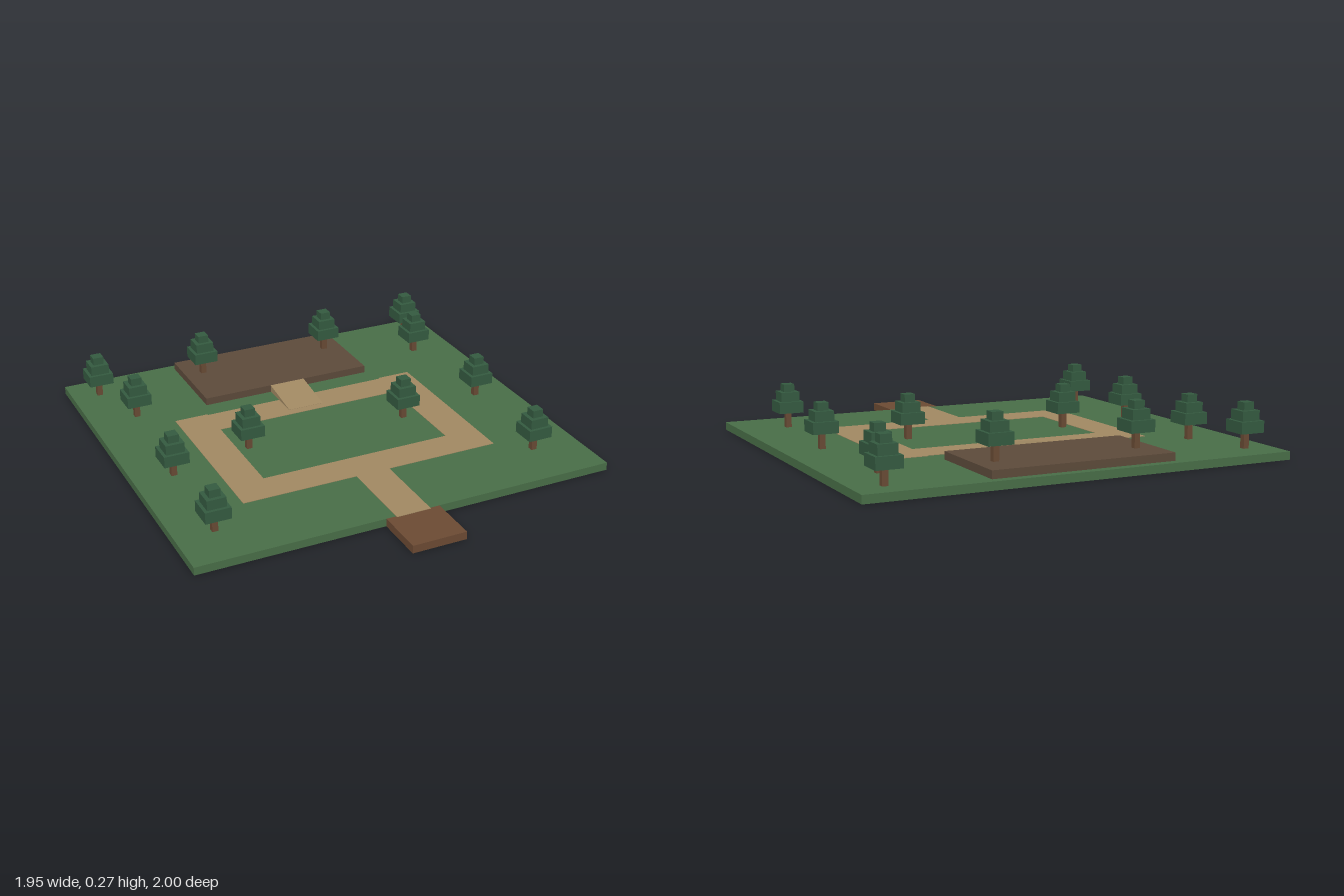
import * as THREE from 'three';

const material = (color) => new THREE.MeshStandardMaterial({ color, flatShading: true });

export function createModel() {
  const model = new THREE.Group();
  model.name = 'park';

  const grass = material(0x486d47);
  const sand = material(0xa08862);
  const earth = material(0x5c4a3a);
  const wood = material(0x6b4a33);
  const bark = material(0x684a34);
  const leaf = material(0x345a40);

  // Box given by its ranges along x, y and z
  function box(name, mat, [x0, x1], [y0, y1], [z0, z1], parent = model) {
    const mesh = new THREE.Mesh(new THREE.BoxGeometry(x1 - x0, y1 - y0, z1 - z0), mat);
    mesh.position.set((x0 + x1) / 2, (y0 + y1) / 2, (z0 + z1) / 2);
    mesh.name = name;
    parent.add(mesh);
  }

  const ground = 0.036;
  const deck = 0.071;
  box('lawn', grass, [-0.973, 0.973], [0, ground], [-1, 0.77]);
  box('entranceBridge', wood, [-0.125, 0.125], [0, ground], [0.77, 1]);
  box('platform', earth, [-0.42, 0.42], [ground, deck], [-0.96, -0.518]);

  // Footpaths: thin slabs forming a ring with an entrance strip
  const slab = [ground, ground + 0.002];
  for (const s of [-1, 1]) {
    const xs = [0.452 * s, 0.612 * s].sort((a, b) => a - b);
    box(s > 0 ? 'leftPath' : 'rightPath', sand, xs, slab, [-0.425, 0.402]);
  }
  box('backPath', sand, [-0.452, 0.452], slab, [-0.417, -0.258]);
  box('frontPath', sand, [-0.452, 0.452], slab, [0.245, 0.402]);
  box('entrancePath', sand, [-0.08, 0.08], slab, [0.402, 0.778]);

  // Ramp: wedge profile in (z, y), extruded across x
  const profile = new THREE.Shape([
    new THREE.Vector2(-0.518, ground),
    new THREE.Vector2(-0.298, ground),
    new THREE.Vector2(-0.298, ground + 0.003),
    new THREE.Vector2(-0.518, deck),
  ]);
  const wedge = new THREE.ExtrudeGeometry(profile, { depth: 0.174, bevelEnabled: false });
  wedge.translate(0, 0, -0.087).rotateY(-Math.PI / 2);
  const ramp = new THREE.Mesh(wedge, sand);
  ramp.name = 'ramp';
  model.add(ramp);

  // Trees: square trunk and three stacked foliage blocks
  function tree(x, z, y = ground) {
    const group = new THREE.Group();
    group.name = 'tree';
    group.position.set(x, y, z);
    const half = (w) => [-w / 2, w / 2];
    box('trunk', bark, half(0.026), [0, 0.074], half(0.026), group);
    for (const [w, y0, y1] of [
      [0.115, 0.072, 0.124],
      [0.086, 0.124, 0.168],
      [0.05, 0.168, 0.203],
    ]) box('foliage', leaf, half(w), [y0, y1], half(w), group);
    model.add(group);
  }

  const onLawn = [
    [-0.843, -0.853], [-0.753, -0.56], [-0.79, 0.04], [-0.798, 0.544], [-0.4, -0.045],
    [0.838, -0.886], [0.766, -0.648], [0.793, -0.071], [0.748, 0.515], [0.367, -0.013],
  ];
  for (const [x, z] of onLawn) tree(x, z);
  for (const x of [-0.328, 0.328]) tree(x, -0.8, deck);

  return model;
}
